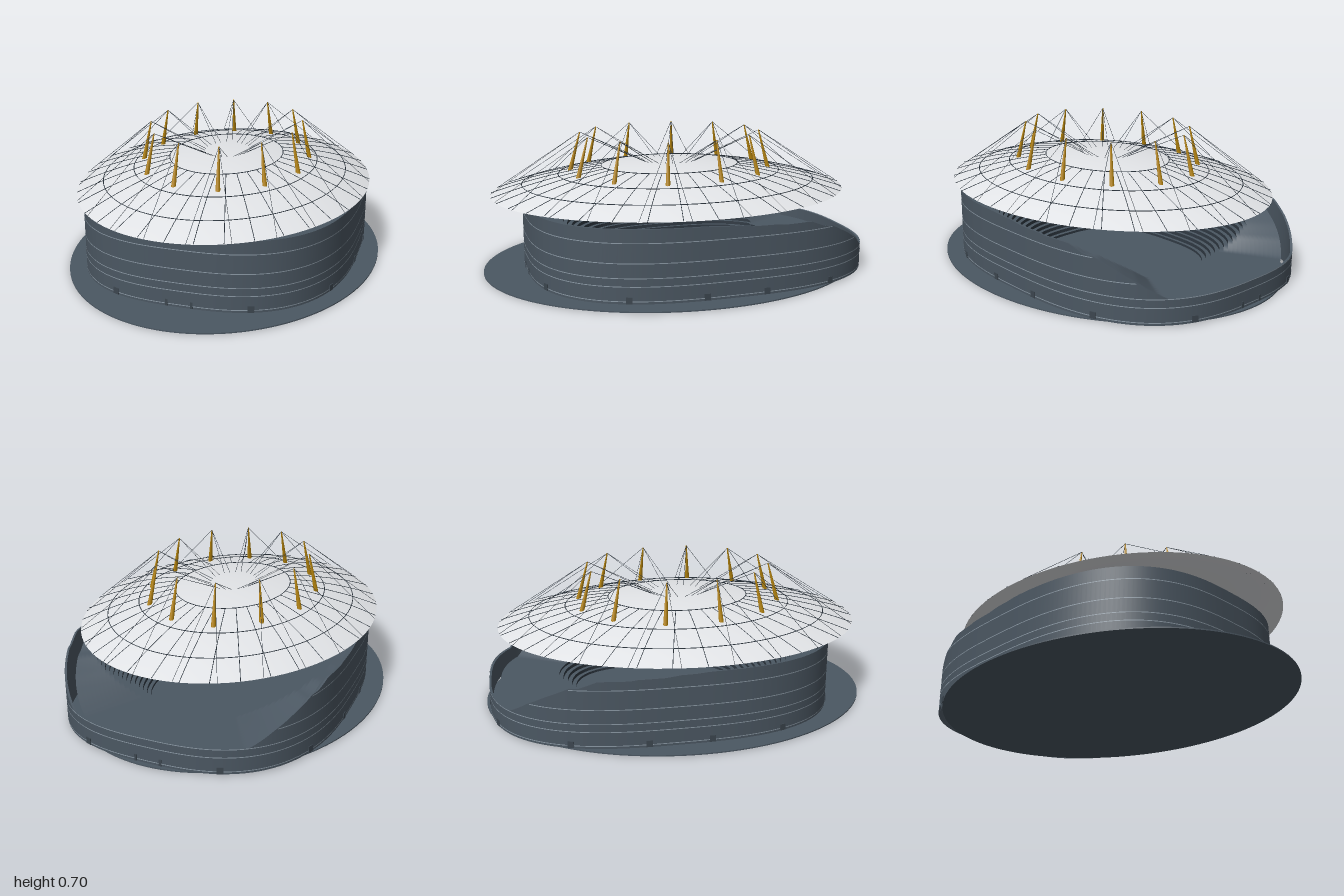
import * as THREE from 'three';
import { mergeGeometries } from 'three/addons/utils/BufferGeometryUtils.js';

const N = 192;
const WALL_Z = -0.1, ROOF_Z = 0.015;
const rad = THREE.MathUtils.degToRad;

const mat = (name, color, side = THREE.FrontSide) => {
  const m = new THREE.MeshStandardMaterial({ color, side });
  m.name = name;
  return m;
};

// Outline of the bowl: a rounded superellipse
const outline = (t, s = 1) => {
  const p = v => Math.sign(v) * Math.abs(v) ** 0.727;
  return [0.7 * s * p(Math.cos(t)), WALL_Z + 0.88 * s * p(Math.sin(t))];
};

// Height of the wall's top edge along z, falling towards the back
const PROFILE = [[1, 0.36], [0.03, 0.36], [-0.02, 0.355], [-0.14, 0.353], [-0.16, 0.345], [-0.3, 0.343],
  [-0.32, 0.338], [-0.48, 0.338], [-0.56, 0.305], [-0.61, 0.3], [-0.72, 0.245], [-0.8, 0.195], [-0.88, 0.13], [-2, 0.13]];
const wallTop = z => {
  const i = PROFILE.findIndex(p => p[0] <= z);
  if (i <= 0) return PROFILE[0][1];
  const [z0, y0] = PROFILE[i - 1], [z1, y1] = PROFILE[i];
  return y0 + (y1 - y0) * (z - z0) / (z1 - z0);
};

// Closed loop of points at scale s, with height given by a function of the wall's z
const loop = (s, height) => Array.from({ length: N }, (_, i) => {
  const t = i / N * Math.PI * 2, [x, z] = outline(t, s);
  return [x, height(outline(t)[1]), z];
});

// Strip of quads between two loops
function strip(a, b, keep = () => true) {
  const g = new THREE.BufferGeometry(), index = [];
  g.setAttribute('position', new THREE.Float32BufferAttribute([...a, ...b].flat(), 3));
  for (let i = 0; i < N; i++) {
    const j = (i + 1) % N;
    if (keep(a[i]) && keep(a[j])) index.push(i, N + i, j, N + i, N + j, j);
  }
  g.setIndex(index);
  g.computeVertexNormals();
  return g;
}

// Straight tapered rod from a (radius r0) to b (radius r1)
function rod(a, b, r0, r1, sides) {
  const d = b.clone().sub(a);
  const g = new THREE.CylinderGeometry(r1, r0, d.length(), sides);
  g.applyQuaternion(new THREE.Quaternion().setFromUnitVectors(new THREE.Vector3(0, 1, 0), d.normalize()));
  return g.translate((a.x + b.x) / 2, (a.y + b.y) / 2, (a.z + b.z) / 2);
}

// Point on the roof dome: s runs from centre (0) to rim (1)
const roofPoint = (s, t, lift = 0) => new THREE.Vector3(
  0.74 * s * Math.cos(t), 0.4 + 0.15 * (1 - s * s) + lift, ROOF_Z + 0.935 * s * Math.sin(t));

export function createModel() {
  const model = new THREE.Group();
  const slate = mat('slate', 0x4b5762, THREE.DoubleSide);
  const doorSlate = mat('doorSlate', 0x3c464f);
  const trim = mat('paleTrim', 0x8c9aa6, THREE.DoubleSide);
  const dark = mat('darkSteel', 0x303a44, THREE.DoubleSide);
  const roofGrey = mat('roofGrey', 0xe4e6e9, THREE.DoubleSide);
  const gold = mat('mastGold', 0xb8860b);
  const add = (name, geometry, material) => {
    const m = new THREE.Mesh(geometry, material);
    m.name = name;
    model.add(m);
  };

  // Ground plate
  add('groundPlate', new THREE.CylinderGeometry(1, 1, 0.006, 128).scale(0.805, 1, 1).translate(0, 0.003, 0), slate);

  // Outer wall with thickness
  const base = () => 0.007;
  const rows = [loop(1, base), loop(1, wallTop), loop(0.988, wallTop), loop(0.988, base)];
  add('outerWall', mergeGeometries([0, 1, 2].map(i => strip(rows[i], rows[i + 1]))), slate);

  // Pale bands around the wall, only where the wall is tall enough
  const bands = [0.02, 0.09, 0.13, 0.2, 0.295].map(y => strip(
    loop(1.002, () => y - 0.002), loop(1.002, () => y + 0.002), p => wallTop(p[2]) >= y));
  add('wallBands', mergeGeometries(bands), trim);

  // Stepped seating, lowered where the wall is low
  const treads = [], risers = [];
  const STEPS = 18, DEPTH = 0.025;
  for (let k = 0; k < STEPS; k++) {
    const level = n => z => n === STEPS ? 0.006 : Math.min(0.325 - n * 0.018, wallTop(z) - 0.045);
    const s = 0.94 - k * DEPTH;
    const inner = loop(s - DEPTH, level(k));
    treads.push(strip(loop(s, level(k)), inner));
    risers.push(strip(inner, loop(s - DEPTH, level(k + 1))));
  }
  add('seatingTreads', mergeGeometries(treads), slate);
  add('seatingRisers', mergeGeometries(risers), dark);

  // Entrances at the foot of the wall
  const doors = [];
  for (const [q, width] of [[5, 0.03], [28, 0.03], [69, 0.03], [88, 0.012]]) {
    for (const a of [q, 180 - q, 180 + q, 360 - q]) {
      const [x, z] = outline(rad(a)), [x1, z1] = outline(rad(a + 0.5)), [x0, z0] = outline(rad(a - 0.5));
      doors.push(new THREE.BoxGeometry(width, 0.032, 0.008)
        .rotateY(-Math.atan2(z1 - z0, x1 - x0)).translate(x, 0.025, z));
    }
  }
  add('entrances', mergeGeometries(doors), doorSlate);

  // Shallow domed roof, open underneath
  const profile = Array.from({ length: 25 }, (_, i) => new THREE.Vector2(1 - i / 24, 0.4 + 0.15 * (1 - (1 - i / 24) ** 2)));
  add('roofDome', new THREE.LatheGeometry(profile, 96).scale(0.74, 1, 0.935).translate(0, 0, ROOF_Z), roofGrey);

  // Roof rings and thin radial ribs, lying on top of the dome
  const ribs = [];
  for (const s of [0.39, 0.63, 0.83]) {
    const pts = Array.from({ length: 72 }, (_, i) => roofPoint(s, i / 72 * Math.PI * 2, 0.002));
    ribs.push(new THREE.TubeGeometry(new THREE.CatmullRomCurve3(pts, true), 144, 0.002, 4, true));
  }
  for (let i = 0; i < 36; i++) {
    const pts = [0.39, 0.55, 0.7, 0.85, 1].map(s => roofPoint(s, rad(10 * i), 0.002));
    ribs.push(new THREE.TubeGeometry(new THREE.CatmullRomCurve3(pts), 20, 0.0016, 4));
  }
  add('roofRibs', mergeGeometries(ribs), dark);

  // Twelve leaning tapered masts, footed through the roof, with four cables each
  const masts = [], cables = [];
  for (let i = 0; i < 12; i++) {
    const t = rad(15 + 30 * i), c = Math.cos(t), s = Math.sin(t);
    const foot = new THREE.Vector3(0.43 * c, 0.475, ROOF_Z + 0.536 * s);
    const tip = new THREE.Vector3(0.385 * c, 0.7, ROOF_Z + 0.475 * s);
    masts.push(rod(foot, tip, 0.013, 0.003, 6));
    for (const scale of [1, 0.15]) {
      for (const side of [-1, 1]) cables.push(rod(tip, roofPoint(scale, t + side * rad(7.5)), 0.0012, 0.0012, 3));
    }
  }
  add('masts', mergeGeometries(masts), gold);
  add('cables', mergeGeometries(cables), dark);
  return model;
}
